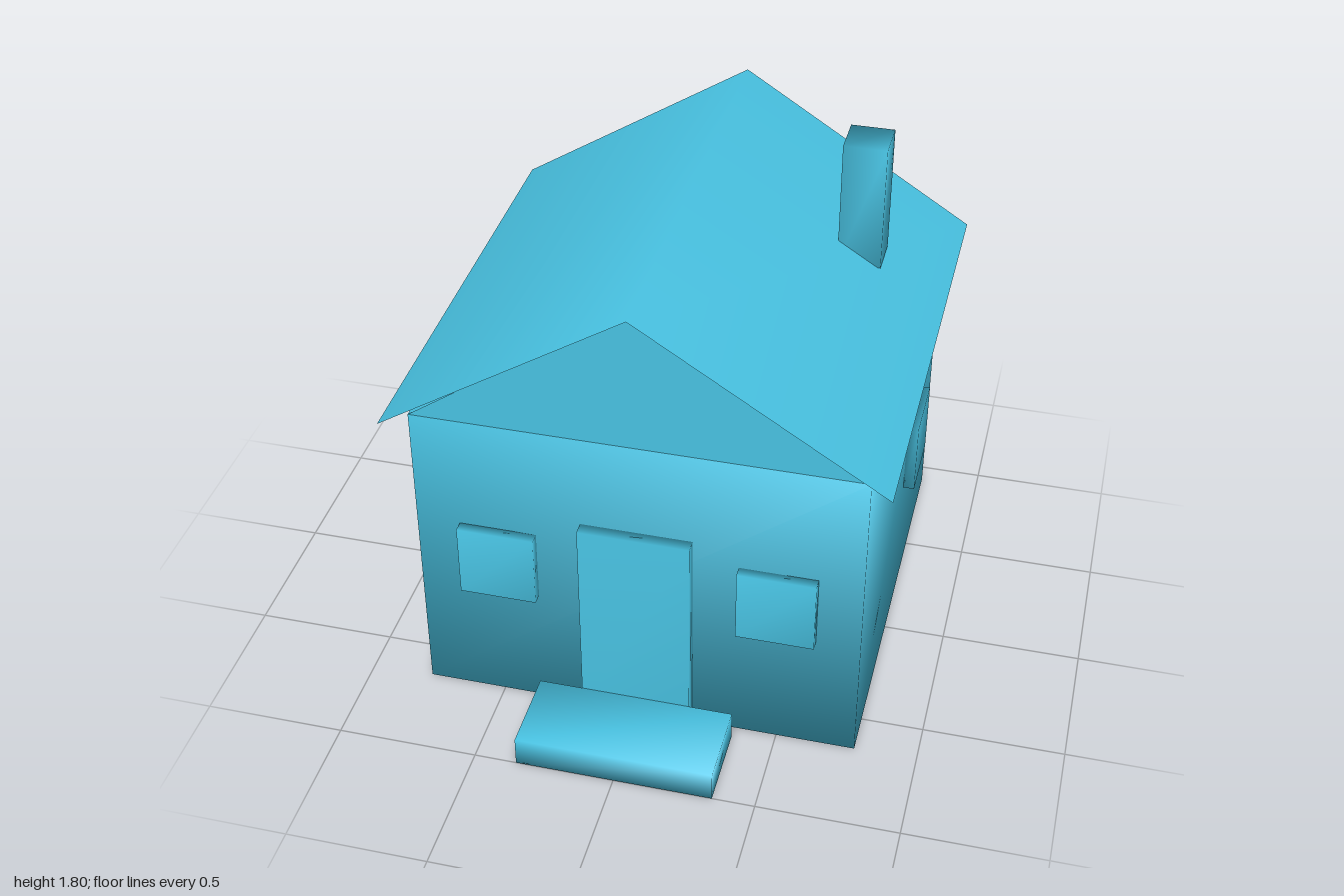
import * as THREE from 'three';
import { mergeVertices } from 'three/addons/utils/BufferGeometryUtils.js';

const blue = new THREE.MeshStandardMaterial({ color: 0x49c4e4, side: THREE.DoubleSide });
blue.name = 'sky blue';

// Box given by its limits on each axis, with corner normals shared between faces
function softBox(name, [x0, x1], [y0, y1], [z0, z1]) {
  const box = new THREE.BoxGeometry(x1 - x0, y1 - y0, z1 - z0);
  box.deleteAttribute('normal');
  box.deleteAttribute('uv');
  const geometry = mergeVertices(box);
  geometry.translate((x0 + x1) / 2, (y0 + y1) / 2, (z0 + z1) / 2);
  geometry.computeVertexNormals();
  const mesh = new THREE.Mesh(geometry, blue);
  mesh.name = name;
  return mesh;
}

// Thin surface from corner points and triangle indices
function sheet(name, points, index) {
  const geometry = new THREE.BufferGeometry();
  geometry.setAttribute('position', new THREE.Float32BufferAttribute(points.flat(), 3));
  geometry.setIndex(index);
  geometry.computeVertexNormals();
  const mesh = new THREE.Mesh(geometry, blue);
  mesh.name = name;
  return mesh;
}

export function createModel() {
  const house = new THREE.Group();
  house.name = 'house';

  const halfWidth = 0.78, eave = 1.18, ridge = 1.725;
  const front = 0.65, back = -0.92;

  // Walls
  house.add(softBox('walls', [-halfWidth, halfWidth], [0, eave], [back, front]));

  // Gable triangles above the front and back walls
  const left = [halfWidth, eave], right = [-halfWidth, eave], peak = [0, ridge];
  house.add(sheet('frontGable', [right, left, peak].map((p) => [...p, front]), [0, 1, 2]));
  house.add(sheet('backGable', [left, right, peak].map((p) => [...p, back]), [0, 1, 2]));

  // Overhanging roof sheet, folded at the ridge
  const roofPoints = [];
  for (const z of [0.725, -1]) {
    roofPoints.push([-0.86, eave, z], [0, ridge, z], [0.86, eave, z]);
  }
  house.add(sheet('roof', roofPoints, [0, 1, 4, 0, 4, 3, 1, 2, 5, 1, 5, 4]));

  // Chimney
  house.add(softBox('chimney', [0.47, 0.625], [1.335, 1.805], [-0.53, -0.375]));

  // Door and doorstep
  house.add(softBox('door', [-0.195, 0.195], [0.005, 0.825], [front, 0.697]));
  house.add(softBox('doorstep', [-0.35, 0.35], [0, 0.11], [0.697, 1]));

  // Windows: two in front, one on the left wall, one at the back
  const sill = [0.472, 0.745];
  for (const side of [-1, 1]) {
    const x = 0.49 * side;
    house.add(softBox('frontWindow', [x - 0.136, x + 0.136], sill, [front, front + 0.04]));
  }
  house.add(softBox('sideWindow', [halfWidth, halfWidth + 0.04], sill, [-0.525, -0.253]));
  house.add(softBox('backWindow', [-0.392, -0.12], sill, [back - 0.04, back]));

  return house;
}
